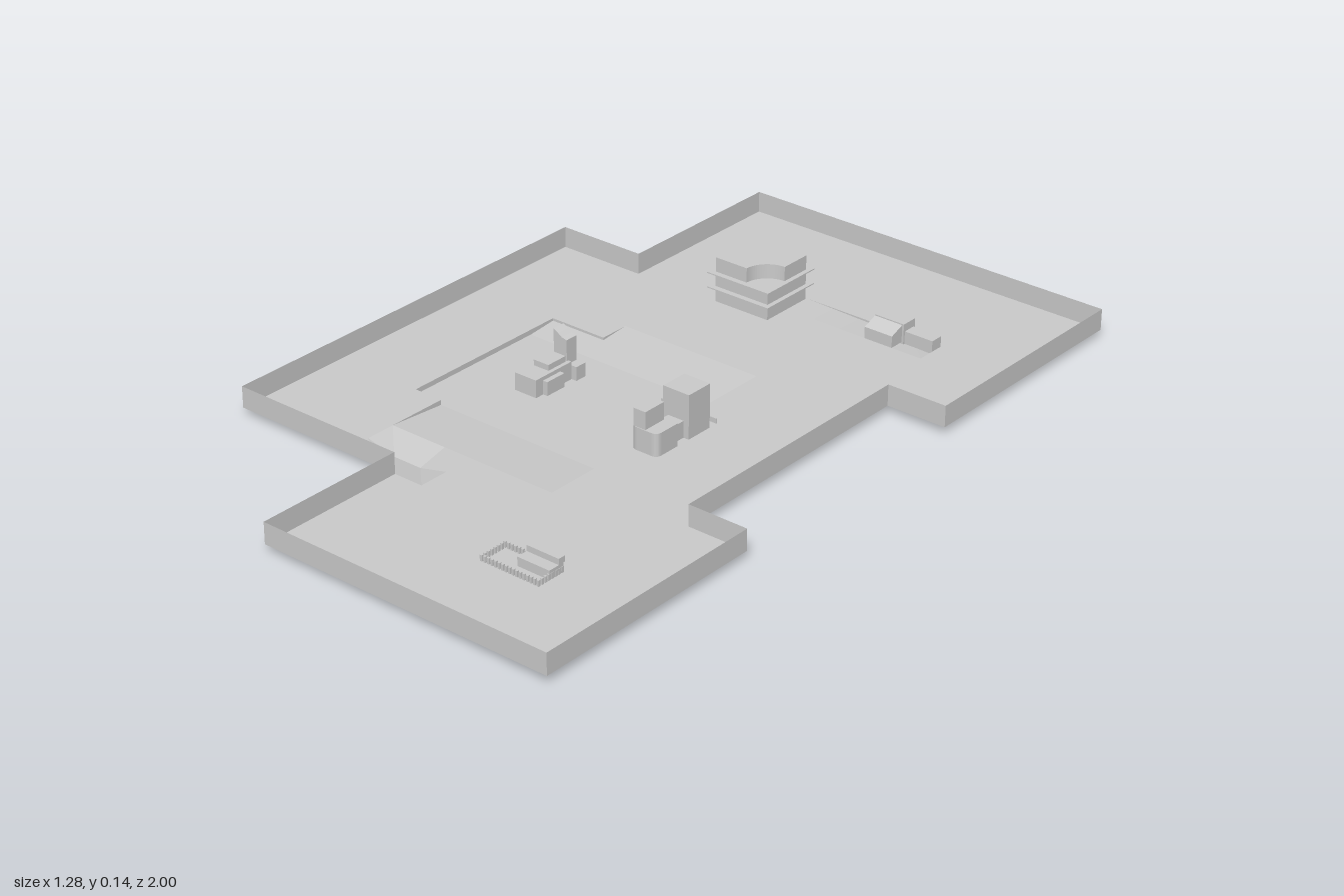
import * as THREE from 'three';

const mat = new THREE.MeshStandardMaterial({ color: 0xcccccc, flatShading: true, side: THREE.DoubleSide });
const GROUND = 0.027, RIM = 0.082, CELL = 0.08;

const outline = [[-0.4, -1], [0.64, -1], [0.64, -0.36], [0.48, -0.36], [0.48, 0.36], [0.64, 0.36],
  [0.64, 1], [-0.16, 1], [-0.16, 0.6], [-0.64, 0.6], [-0.64, -0.52], [-0.4, -0.52]];

function add(parent, name, geometry) {
  const m = new THREE.Mesh(geometry, mat);
  m.name = name;
  parent.add(m);
  return m;
}

// Box given by its extents
function block(parent, name, x0, x1, y0, y1, z0, z1) {
  const m = add(parent, name, new THREE.BoxGeometry(x1 - x0, y1 - y0, z1 - z0));
  m.position.set((x0 + x1) / 2, (y0 + y1) / 2, (z0 + z1) / 2);
  return m;
}

// Profile in x/y extruded along z
function prism(parent, name, pts, z0, z1) {
  const shape = new THREE.Shape(pts.map(p => new THREE.Vector2(...p)));
  const g = new THREE.ExtrudeGeometry(shape, { depth: z1 - z0, bevelEnabled: false });
  return add(parent, name, g.translate(0, 0, z0));
}

// Plan in x/z extruded upward
function plan(parent, name, shape, y0, y1) {
  const g = new THREE.ExtrudeGeometry(shape, { depth: y1 - y0, bevelEnabled: false, curveSegments: 8 });
  return add(parent, name, g.rotateX(-Math.PI / 2).translate(0, y0, 0));
}

function surface(quads) {
  const pos = [];
  for (const [a, b, c, d] of quads) pos.push(...a, ...b, ...c, ...a, ...c, ...d);
  const g = new THREE.BufferGeometry();
  g.setAttribute('position', new THREE.Float32BufferAttribute(pos, 3));
  g.computeVertexNormals();
  return g;
}

const inside = (x, z) => Math.abs(x) < 0.64 && Math.abs(z) < 1 &&
  !(z < -0.52 && x < -0.4) && !(z > 0.6 && x < -0.16) && !(Math.abs(z) < 0.36 && x > 0.48);

// Ground height at (x, z) for the cell centred on (cx, cz): a sunken court and a ditch
function height(cx, cz, x, z) {
  const court = cx > -0.4 && cx < 0.16 && cz > -0.28 && cz < 0.44 &&
    !(cz < -0.2 && cx < -0.24) && !(cz > 0.28 && cx < -0.32);
  if (court) return GROUND - 0.013 * Math.max(0, Math.min(1, (z + 0.28) / 0.16, (0.44 - z) / 0.16));
  if (cx > 0 && cx < 0.4 && cz > -0.68 && cz < -0.6)
    return GROUND - 0.011 * (x / 0.4) * Math.max(0, (-0.6 - z) / 0.08);
  // shallow hollows south of the court
  if (cz > 0.44 && cz < 0.6 && cx > -0.32 && cx < -0.08 && Math.abs(z - 0.52) < 0.01 && Math.abs(x + 0.2) < 0.05)
    return 0.008;
  return GROUND;
}

function buildGround(parent) {
  const quads = [];
  for (let i = 0; i < 16; i++) for (let j = 0; j < 25; j++) {
    const x0 = -0.64 + i * CELL, z0 = -1 + j * CELL, x1 = x0 + CELL, z1 = z0 + CELL;
    const cx = x0 + CELL / 2, cz = z0 + CELL / 2;
    if (!inside(cx, cz)) continue;
    const p = (x, z, ox = 0, oz = 0) => [x, height(cx + ox, cz + oz, x, z), z];
    quads.push([p(x0, z0), p(x0, z1), p(x1, z1), p(x1, z0)]);
    // Small cliffs where neighbouring cells step
    for (const [ox, oz, a, b] of [[CELL, 0, [x1, z0], [x1, z1]], [0, CELL, [x0, z1], [x1, z1]]]) {
      if (!inside(cx + ox, cz + oz)) continue;
      const q = [p(...a), p(...b), p(...b, ox, oz), p(...a, ox, oz)];
      if (Math.abs(q[0][1] - q[3][1]) + Math.abs(q[1][1] - q[2][1]) > 1e-5) quads.push(q);
    }
  }
  add(parent, 'ground', surface(quads));
}

function buildTower(parent) {
  const g = new THREE.Group();
  g.name = 'slabTower';
  block(g, 'lowerFloors', -0.16, 0, GROUND, 0.105, -0.675, -0.525);
  for (const y of [0.065, 0.104]) block(g, 'floorSlab', -0.175, 0.012, y, y + 0.003, -0.692, -0.51);
  // Top floor with a round notch in the front corner
  const s = new THREE.Shape();
  s.moveTo(-0.16, 0.525);
  s.lineTo(-0.065, 0.525);
  s.absarc(0, 0.525, 0.065, Math.PI, Math.PI / 2, true);
  s.lineTo(0, 0.675);
  s.lineTo(-0.16, 0.675);
  plan(g, 'topFloor', s, 0.105, 0.145);
  parent.add(g);
}

function buildLodge(parent) {
  const g = new THREE.Group();
  g.name = 'lodge';
  block(g, 'hall', 0.235, 0.32, 0.015, 0.075, -0.685, -0.64);
  // Front half with a falling roof
  const wedge = prism(g, 'slopedFront', [[0, 0], [0.04, 0], [0.04, 0.03], [0, 0.045]], 0, 0.08);
  wedge.rotation.y = -Math.PI / 2;
  wedge.position.set(0.315, GROUND, -0.64);
  block(g, 'annex', 0.32, 0.4, 0.015, 0.055, -0.68, -0.645);
  parent.add(g);
}

function buildCentre(parent) {
  const g = new THREE.Group();
  g.name = 'centreBlocks';
  block(g, 'tallBlock', 0.16, 0.235, GROUND, 0.14, -0.015, 0.06);
  block(g, 'sidePorch', 0.142, 0.16, 0.015, 0.095, 0.005, 0.045);
  block(g, 'backScreen', 0.16, 0.235, GROUND, 0.04, -0.042, -0.039);
  block(g, 'link', 0.175, 0.22, GROUND, 0.07, 0.06, 0.1);
  // Front block with rounded outer corners
  const s = new THREE.Shape();
  s.moveTo(0.16, -0.1);
  s.lineTo(0.16, -0.155);
  s.quadraticCurveTo(0.16, -0.172, 0.177, -0.172);
  s.lineTo(0.218, -0.172);
  s.quadraticCurveTo(0.235, -0.172, 0.235, -0.155);
  s.lineTo(0.235, -0.1);
  plan(g, 'frontBase', s, GROUND, 0.085);
  block(g, 'frontTurret', 0.165, 0.2, 0.085, 0.13, 0.105, 0.17);
  parent.add(g);
}

function buildWorkshop(parent) {
  const g = new THREE.Group();
  g.name = 'workshop';
  block(g, 'body', -0.24, -0.175, 0.012, 0.06, -0.01, 0.115);
  block(g, 'upperBody', -0.23, -0.185, 0.06, 0.075, 0.0, 0.06);
  block(g, 'sideBay', -0.175, -0.162, 0.012, 0.05, 0.03, 0.09);
  block(g, 'rearBase', -0.24, -0.16, 0.012, 0.05, -0.042, -0.01);
  prism(g, 'stack', [[-0.225, 0.04], [-0.185, 0.04], [-0.185, 0.114], [-0.2, 0.117], [-0.212, 0.125], [-0.225, 0.132]], -0.04, -0.005);
  parent.add(g);
}

function buildYard(parent) {
  const g = new THREE.Group();
  g.name = 'fencedYard';
  block(g, 'hut', 0.31, 0.4, GROUND, 0.05, 0.675, 0.72);
  block(g, 'hutRoof', 0.31, 0.4, 0.05, 0.065, 0.67, 0.69);
  const post = (x, z) => block(g, 'fencePost', x - 0.003, x + 0.003, GROUND, 0.042, z - 0.003, z + 0.003);
  for (let i = 0; i <= 16; i++) for (const z of [0.678, 0.752]) post(0.238 + i * 0.01, z);
  for (let i = 1; i < 7; i++) for (const x of [0.238, 0.398]) post(x, 0.678 + i * 0.0106);
  parent.add(g);
}

export function createModel() {
  const model = new THREE.Group();
  model.name = 'walledSite';
  buildGround(model);
  // Thin boundary wall around the site
  add(model, 'boundaryWall', surface(outline.map(([x, z], i) => {
    const [u, w] = outline[(i + 1) % outline.length];
    return [[x, GROUND, z], [x, RIM, z], [u, RIM, w], [u, GROUND, w]];
  })));
  buildTower(model);
  buildLodge(model);
  buildCentre(model);
  buildWorkshop(model);
  buildYard(model);
  return model;
}
